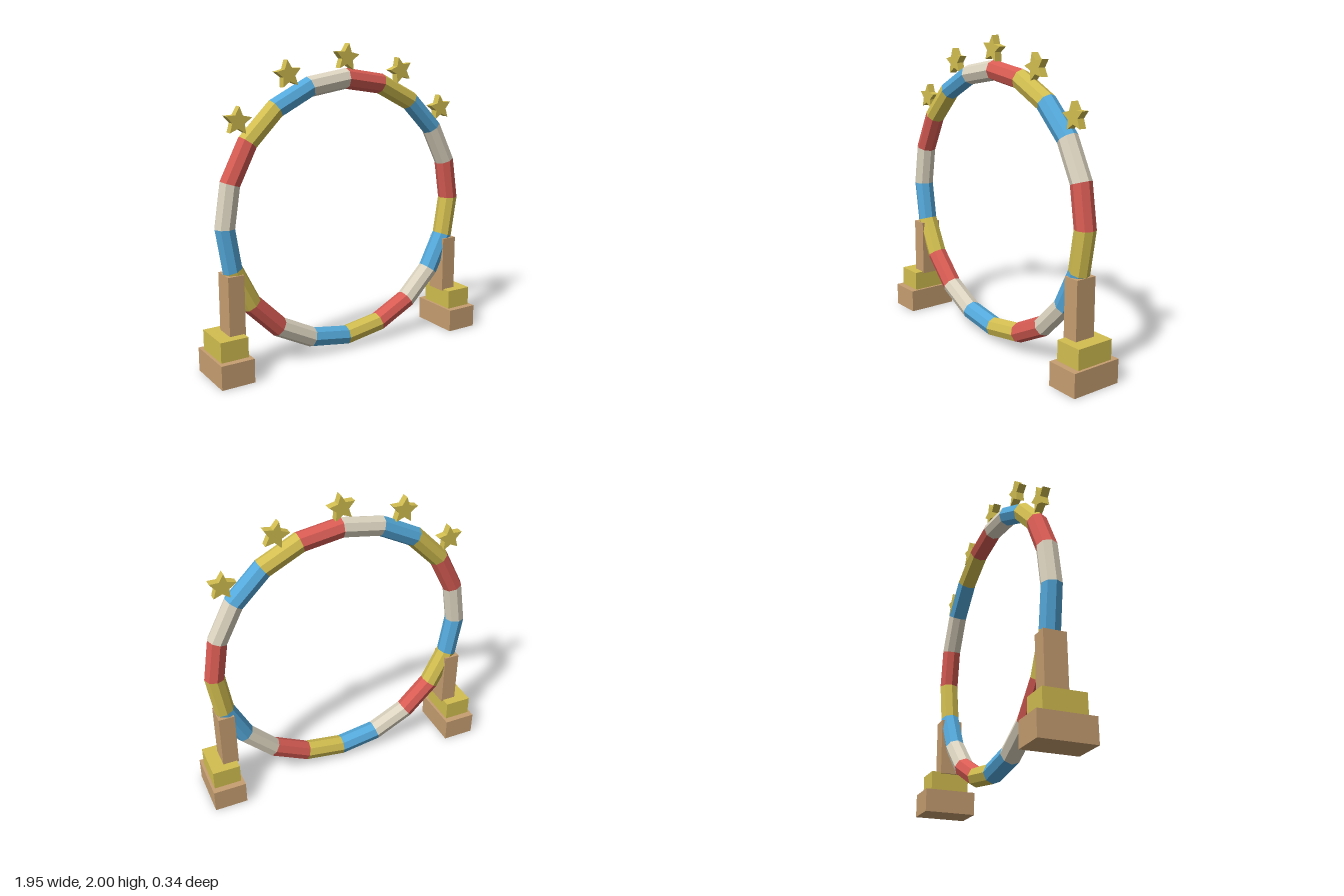
import * as THREE from 'three';

const flat = (name, color) => {
  const m = new THREE.MeshStandardMaterial({ color, flatShading: true });
  m.name = name;
  return m;
};

export function createModel() {
  const red = flat('red', 0xd85c54);
  const yellow = flat('yellow', 0xd2be50);
  const blue = flat('blue', 0x55aadc);
  const cream = flat('cream', 0xdcd4c0);
  const tan = flat('tan', 0xc69e70);

  const model = new THREE.Group();
  model.name = 'starHoop';
  const add = (parent, name, geometry, material, x = 0, y = 0, z = 0) => {
    const mesh = new THREE.Mesh(geometry, material);
    mesh.name = name;
    mesh.position.set(x, y, z);
    parent.add(mesh);
    return mesh;
  };

  // Hoop: twenty straight octagonal segments, colours repeating clockwise from the top
  const centreY = 0.933;
  const step = Math.PI / 10;
  const hoop = new THREE.Group();
  hoop.name = 'hoop';
  hoop.position.y = centreY;
  model.add(hoop);
  const segment = new THREE.TorusGeometry(0.85, 0.065, 8, 1, step);
  const stripes = [red, yellow, blue, cream];
  for (let i = 0; i < 20; i++) {
    add(hoop, 'hoopSegment', segment, stripes[i % 4]).rotation.z = Math.PI / 2 - (i + 1) * step;
  }

  // Stars fanned over the top of the hoop
  const outline = [];
  for (let i = 0; i < 10; i++) {
    const r = i % 2 ? 0.042 : 0.087;
    const a = Math.PI / 2 + (i * Math.PI) / 5;
    outline.push(new THREE.Vector2(r * Math.cos(a), r * Math.sin(a)));
  }
  const starGeometry = new THREE.ExtrudeGeometry(new THREE.Shape(outline), { depth: 0.05, bevelEnabled: false });
  starGeometry.translate(0, 0, -0.025);
  const tilts = [-5, 7, -7, 15, 7];
  tilts.forEach((tilt, i) => {
    const a = THREE.MathUtils.degToRad((i - 2) * 25);
    const star = add(model, 'star', starGeometry, yellow, 0.98 * Math.sin(a), centreY + 0.98 * Math.cos(a));
    star.rotation.z = THREE.MathUtils.degToRad(tilt);
  });

  // Stepped stands on both sides
  for (const side of [-1, 1]) {
    const stand = new THREE.Group();
    stand.name = side > 0 ? 'leftStand' : 'rightStand';
    model.add(stand);
    add(stand, 'base', new THREE.BoxGeometry(0.216, 0.152, 0.345), tan, side * 0.868, 0.076);
    add(stand, 'plinth', new THREE.BoxGeometry(0.18, 0.128, 0.26), yellow, side * 0.868, 0.216);
    add(stand, 'post', new THREE.BoxGeometry(0.105, 0.38, 0.142), tan, side * 0.818, 0.46);
  }
  return model;
}
